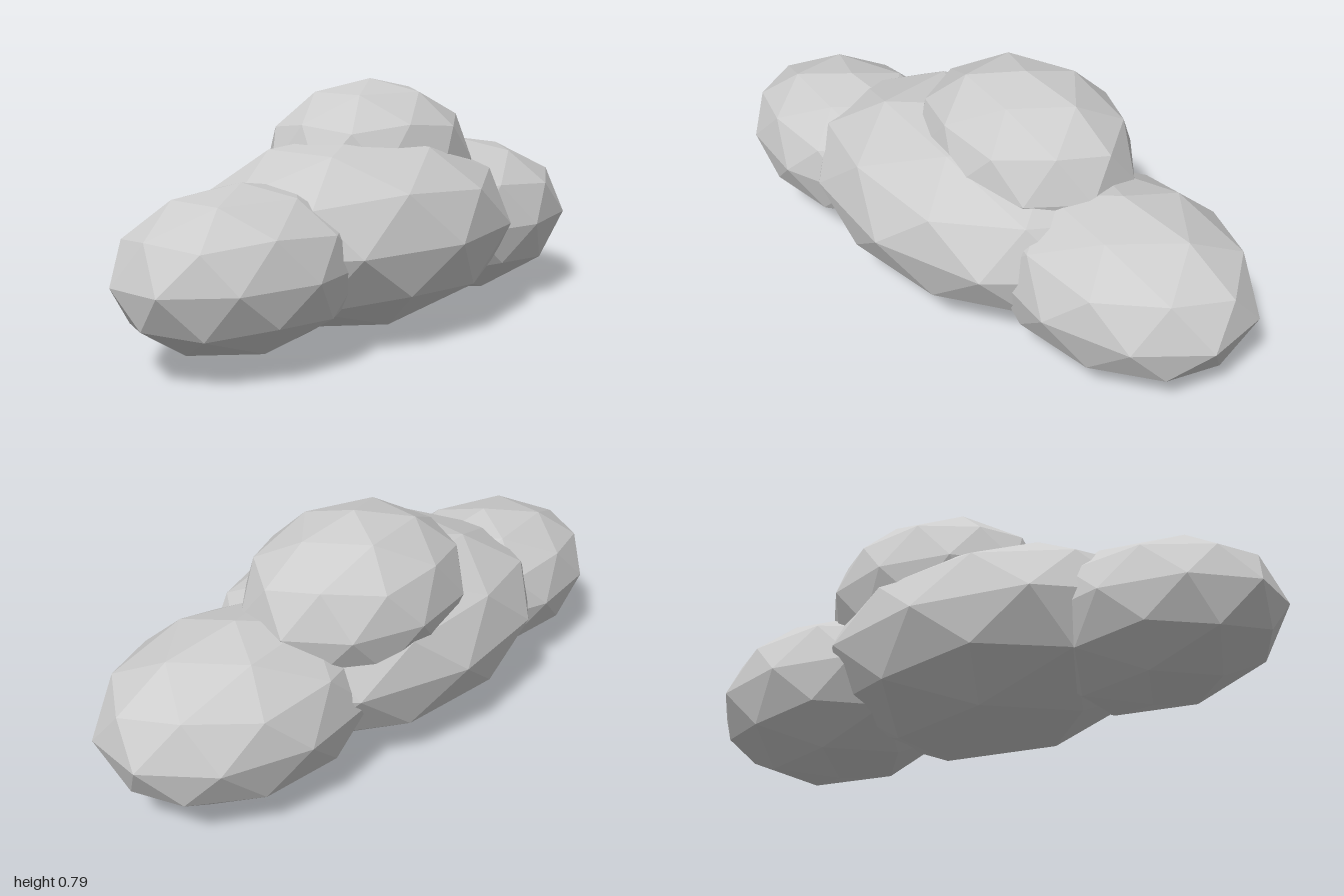
import * as THREE from 'three';

export function createModel() {
  const cloud = new THREE.Group();
  cloud.name = 'cloud';
  const cloudGrey = new THREE.MeshStandardMaterial({ color: 0xcccccc, flatShading: true });
  cloudGrey.name = 'cloudGrey';

  // Tilt that puts one corner of the icosahedron straight up
  const tilt = -Math.atan(2 / (1 + Math.sqrt(5)));

  // name, centre, radii
  const puffs = [
    ['middlePuff', [-0.04, 0.316, 0], [0.632, 0.316, 0.433]],
    ['leftPuff', [0.55, 0.276, -0.04], [0.473, 0.275, 0.352]],
    ['rightPuff', [-0.59, 0.28, 0.035], [0.431, 0.252, 0.312]],
    ['topPuff', [0.117, 0.515, -0.078], [0.39, 0.271, 0.314]],
  ];

  // Each puff is a faceted ball stretched along its axes
  for (const [name, centre, radii] of puffs) {
    const geometry = new THREE.IcosahedronGeometry(1, 1);
    geometry.rotateZ(tilt).scale(...radii);
    geometry.computeVertexNormals();
    const puff = new THREE.Mesh(geometry, cloudGrey);
    puff.name = name;
    puff.position.set(...centre);
    cloud.add(puff);
  }
  return cloud;
}
